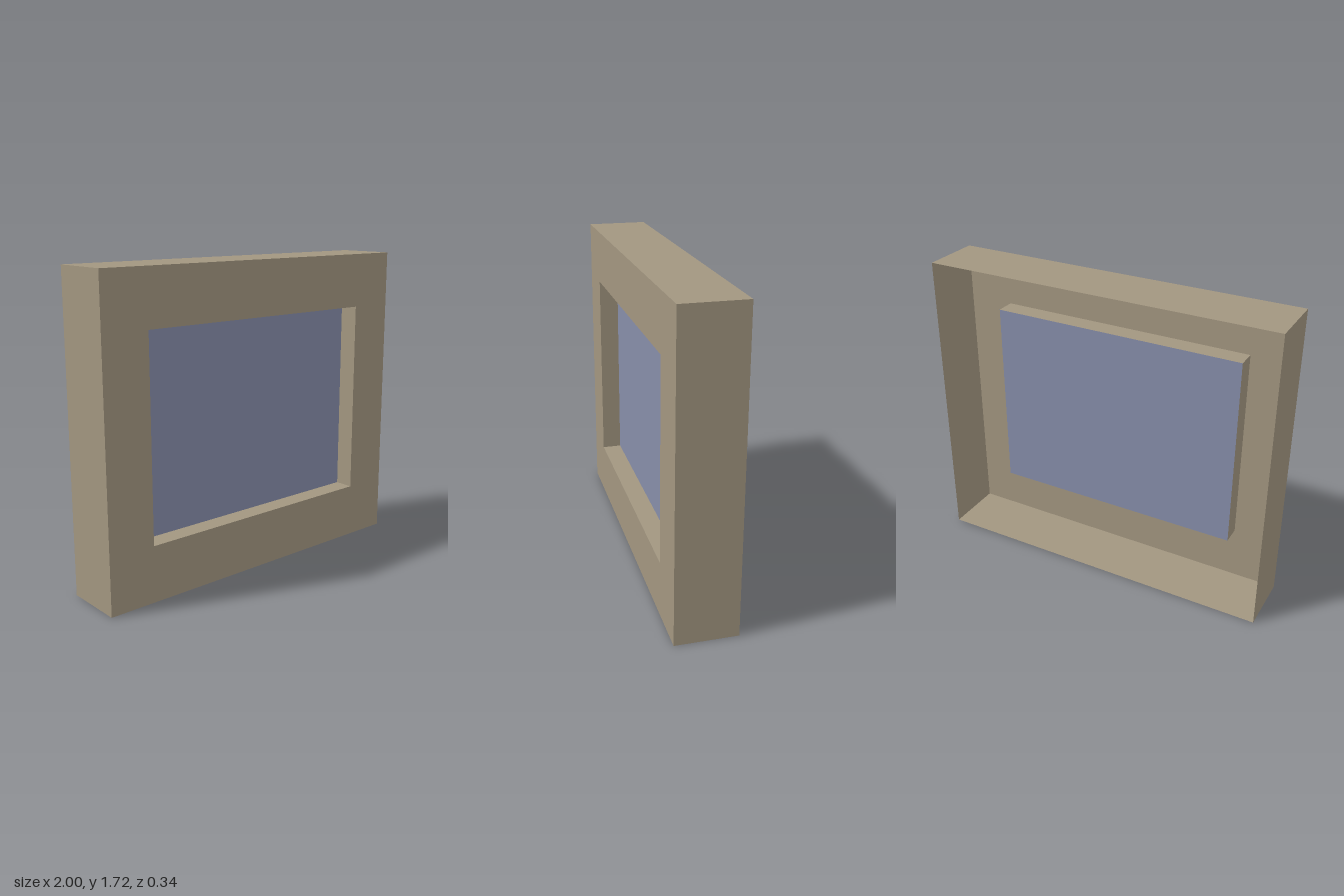
import * as THREE from 'three';

export function createModel() {
  const model = new THREE.Group();
  model.name = 'window';

  const frameMat = new THREE.MeshStandardMaterial({ color: 0xa29680, side: THREE.DoubleSide });
  frameMat.name = 'frame beige';
  const glassMat = new THREE.MeshStandardMaterial({ color: 0x868da9, side: THREE.DoubleSide });
  glassMat.name = 'glass blue';

  const front = 0.17, back = -0.17, glassZ = 0.06;
  const outer = { w: 2, h: 1.72, y: 0.86 };
  const opening = { w: 1.47, h: 1.106, y: 0.863 };

  // Flat panel, turned by rx and ry, at a given position
  function panel(name, w, h, mat, x, y, z, rx = 0, ry = 0) {
    const mesh = new THREE.Mesh(new THREE.PlaneGeometry(w, h), mat);
    mesh.name = name;
    mesh.position.set(x, y, z);
    mesh.rotation.set(rx, ry, 0);
    return mesh;
  }

  // Four thin walls round a rectangle; facing 1 = outward, -1 = inward
  function walls(name, r, z0, z1, facing) {
    const group = new THREE.Group();
    group.name = name;
    const depth = z1 - z0, z = (z0 + z1) / 2, turn = Math.PI / 2 * facing;
    for (const s of [1, -1]) {
      group.add(panel(s > 0 ? 'leftWall' : 'rightWall', depth, r.h, frameMat, s * r.w / 2, r.y, z, 0, s * turn));
      group.add(panel(s > 0 ? 'topWall' : 'bottomWall', r.w, depth, frameMat, 0, r.y + s * r.h / 2, z, -s * turn, 0));
    }
    return group;
  }

  // Corner points of a rectangle
  const corners = (r) => [[-1, -1], [1, -1], [1, 1], [-1, 1]].map(
    ([sx, sy]) => new THREE.Vector2(sx * r.w / 2, r.y + sy * r.h / 2));

  // Front face with the opening cut out
  const shape = new THREE.Shape(corners(outer));
  shape.holes.push(new THREE.Path(corners(opening).reverse()));
  const face = new THREE.Mesh(new THREE.ShapeGeometry(shape), frameMat);
  face.name = 'frontFace';
  face.position.z = front;
  model.add(face);

  // Outer shell, open at the back, and the recess round the glass
  model.add(walls('outerShell', outer, back, front, 1));
  model.add(walls('recess', opening, glassZ, front, -1));

  // Glass pane closing the recess
  model.add(panel('glassPane', opening.w, opening.h, glassMat, 0, opening.y, glassZ));

  return model;
}
